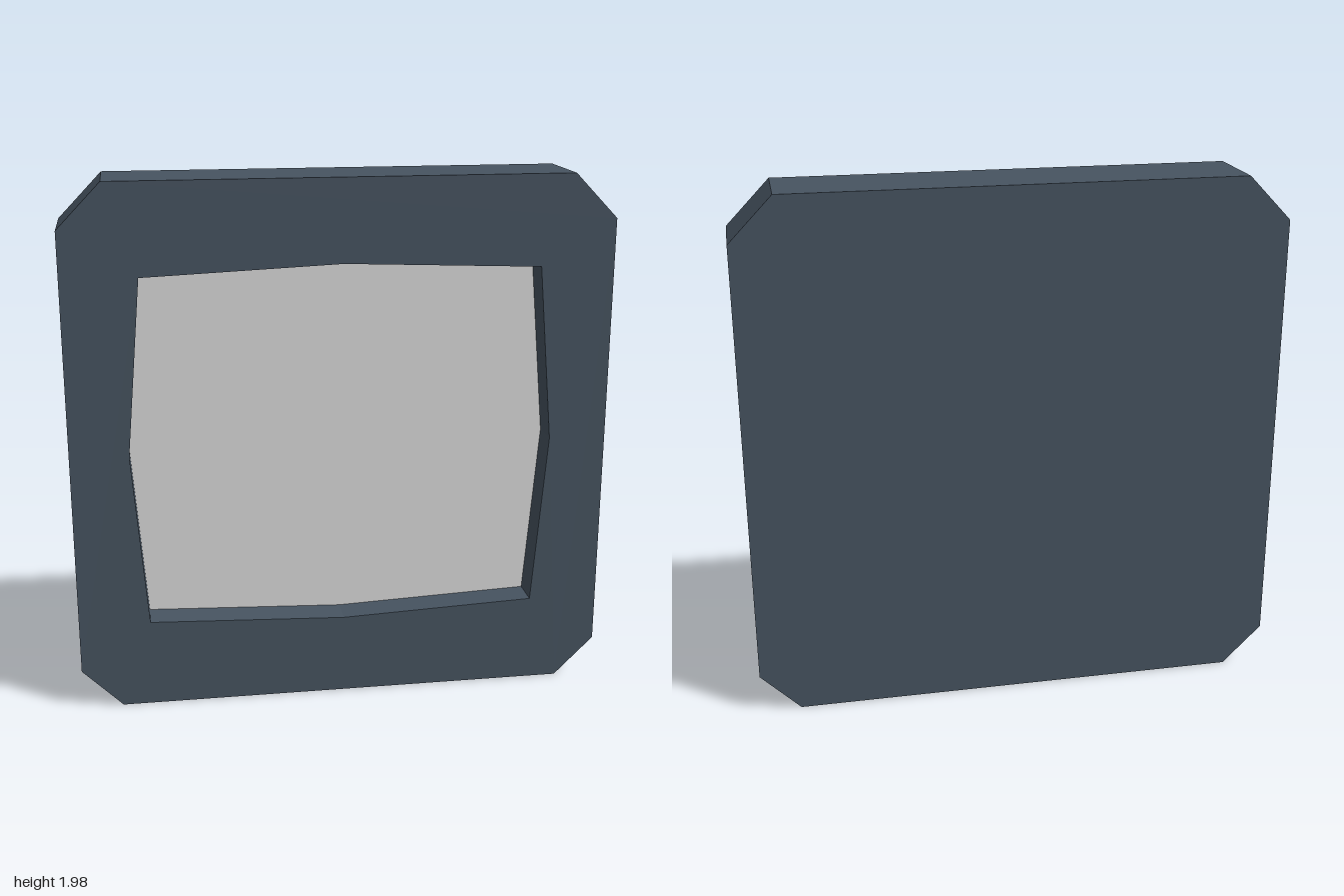
import * as THREE from 'three';

export function createModel() {
  const frameMat = new THREE.MeshStandardMaterial({ color: 0x475461 });
  frameMat.name = 'slateFrame';
  const panelMat = new THREE.MeshStandardMaterial({ color: 0xdcdcdc });
  panelMat.name = 'paleGreyPanel';

  const front = 0.15, back = -0.15, recess = 0.12;
  const toPoints = (list) => list.map(([x, y]) => new THREE.Vector2(x, y));

  // Outer outline with chamfered corners
  const outline = toPoints([
    [-0.85, 0], [0.85, 0], [1, 0.15], [1, 1.815],
    [0.84, 1.98], [-0.84, 1.98], [-1, 1.815], [-1, 0.15],
  ]);
  // Slightly bulging opening
  const opening = toPoints([
    [-0.735, 0.335], [0, 0.305], [0.735, 0.335], [0.785, 0.99],
    [0.725, 1.645], [0, 1.675], [-0.725, 1.645], [-0.785, 0.99],
  ]);

  const group = new THREE.Group();
  group.name = 'framedPanel';

  const addPart = (name, geometry, material, z) => {
    const mesh = new THREE.Mesh(geometry, material);
    mesh.name = name;
    mesh.position.z = z;
    group.add(mesh);
  };
  const extrude = (shape, depth) =>
    new THREE.ExtrudeGeometry(shape, { depth, bevelEnabled: false });

  // Frame ring around the recess
  const ring = new THREE.Shape(outline);
  ring.holes.push(new THREE.Path(opening));
  addPart('frame', extrude(ring, recess), frameMat, front - recess);

  // Solid backing
  addPart('backing', extrude(new THREE.Shape(outline), front - recess - back), frameMat, back);

  // Inset panel on the recess floor
  addPart('panel', new THREE.ShapeGeometry(new THREE.Shape(opening)), panelMat, front - recess + 0.002);

  return group;
}
